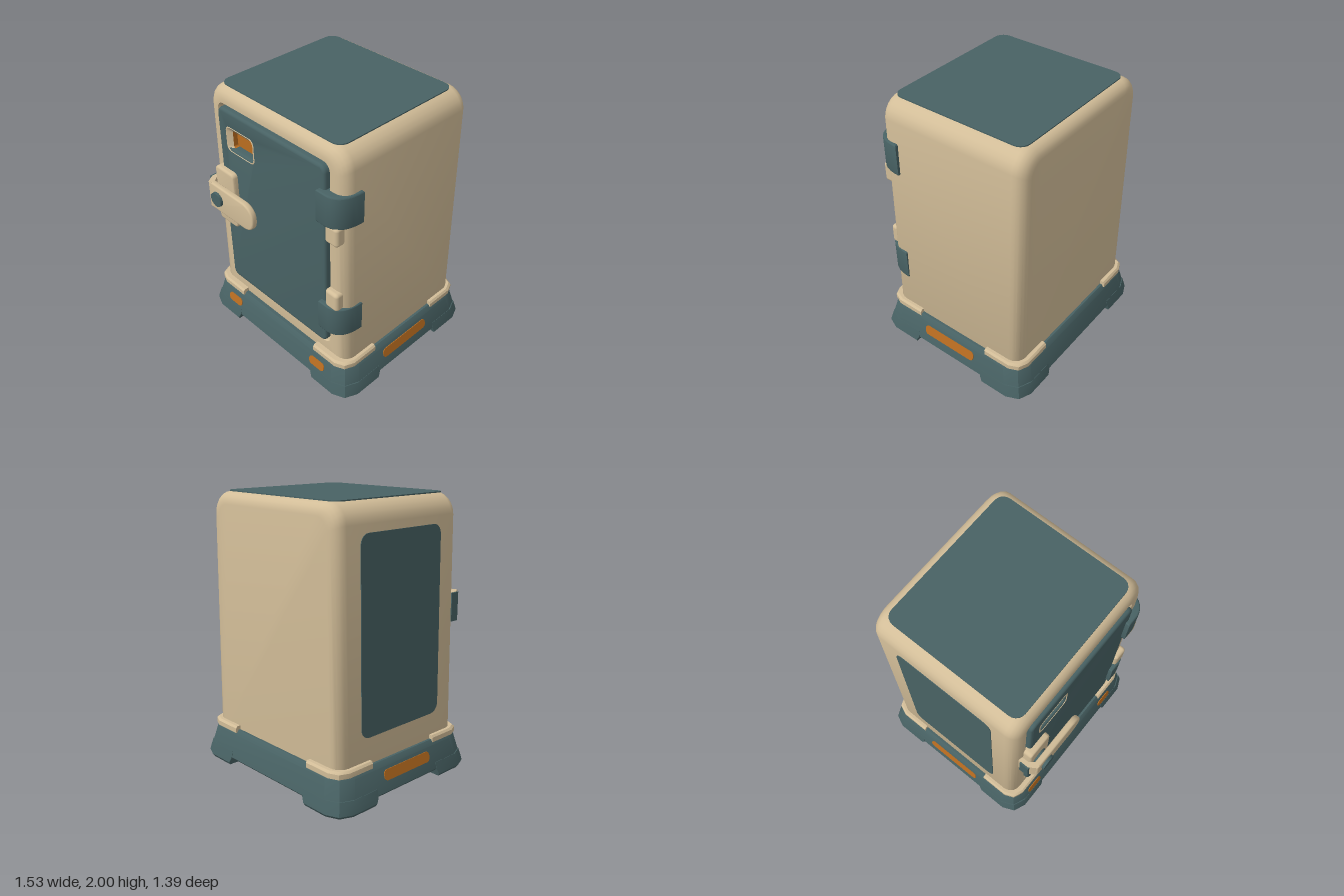
import * as THREE from 'three';
import { toCreasedNormals } from 'three/addons/utils/BufferGeometryUtils.js';
import { RoundedBoxGeometry } from 'three/addons/geometries/RoundedBoxGeometry.js';

const paint = (name, hex) => Object.assign(new THREE.MeshStandardMaterial({ color: hex }), { name });

// Counter-clockwise rounded rectangle; n segments per corner
function roundRect(x0, x1, y0, y1, r, n = 5, rBottom = r) {
  const pts = [];
  [[x1, y0, -1, 1, rBottom], [x1, y1, -1, -1, r], [x0, y1, 1, -1, r], [x0, y0, 1, 1, rBottom]].forEach(([x, y, sx, sy, rad], k) => {
    for (let i = 0; i <= n; i++) {
      const a = (k - 1 + i / n) * Math.PI / 2;
      pts.push(new THREE.Vector2(x + sx * rad + rad * Math.cos(a), y + sy * rad + rad * Math.sin(a)));
    }
  });
  return pts;
}

// Skin over outlines [points, z], listed along the direction of travel
function loft(rings, capStart = true, capEnd = true, crease = 0.6) {
  const n = rings[0][0].length, pos = [], idx = [];
  for (const [pts, z] of rings) for (const p of pts) pos.push(p.x, p.y, z);
  for (let k = 0; k < rings.length - 1; k++) {
    for (let i = 0; i < n; i++) {
      const a = k * n + i, b = k * n + (i + 1) % n;
      idx.push(a, b, b + n, a, b + n, a + n);
    }
  }
  const last = (rings.length - 1) * n;
  for (let i = 1; i < n - 1; i++) {
    if (capStart) idx.push(0, i + 1, i);
    if (capEnd) idx.push(last, last + i, last + i + 1);
  }
  const g = new THREE.BufferGeometry();
  g.setAttribute('position', new THREE.Float32BufferAttribute(pos, 3));
  g.setIndex(idx);
  return toCreasedNormals(g, crease);
}

// Bevelled plate from z0 to z1
function slab(pts, z0, z1, bevel = 0, hole = null) {
  const shape = new THREE.Shape(pts);
  if (hole) shape.holes.push(new THREE.Path(hole));
  const g = new THREE.ExtrudeGeometry(shape, {
    depth: z1 - z0 - 2 * bevel, bevelEnabled: bevel > 0, bevelThickness: bevel,
    bevelSize: bevel, bevelOffset: -bevel, bevelSegments: 3, curveSegments: 8,
  });
  return toCreasedNormals(g.translate(0, 0, z0 + bevel), 0.6);
}

// Corner block outline with a cut outer corner, mirrored to any quadrant
function cornerPlan(sx, sy, X, Z, x0, z0, cut) {
  const p = [[x0, z0 + 0.06], [x0 + 0.06, z0], [X, z0], [X, Z - cut], [X - cut * 0.3, Z - cut * 0.3], [X - cut, Z], [x0, Z]]
    .map(([x, y]) => new THREE.Vector2(x * sx, y * sy));
  return sx * sy < 0 ? p.reverse() : p;
}

export function createModel() {
  const root = new THREE.Group();
  const beige = paint('beige', 0xd2bd98), teal = paint('teal', 0x486264), orange = paint('orange', 0xba6d20);
  const add = (name, geo, mat, parent = root) => {
    const m = new THREE.Mesh(geo, mat);
    m.name = name;
    parent.add(m);
    return m;
  };
  const upright = g => g.rotateX(-Math.PI / 2); // outline plane becomes the floor plane

  // Tapered cabinet with rounded edges and a recess for the door
  const outline = inset => {
    const pts = roundRect(-0.64 + inset, 0.64 - inset, 0.2, 1.995 - inset, 0.14 - inset * 0.5, 6, 0.01);
    for (const p of pts) p.x *= 1 + 0.05 * (2 - p.y) / 1.7;
    return pts;
  };
  const R = 0.085, rings = [], steps = [0, 1, 2, 3, 4, 5].map(i => i / 5 * Math.PI / 2);
  for (const a of steps) rings.push([outline(R * (1 - Math.sin(a))), -0.6 + R * (1 - Math.cos(a))]);
  for (const a of steps) rings.push([outline(R * (1 - Math.cos(a))), 0.55 - R * (1 - Math.sin(a))]);
  const opening = e => roundRect(-0.54 + e, 0.52 - e, 0.37 + e, 1.885 - e, 0.06, 6);
  rings.push([opening(0), 0.55], [opening(0.008), 0.535], [opening(0.008), 0.46]);
  add('cabinet', loft(rings), beige);

  // Painted panels on the roof and one side
  add('roofPanel', upright(slab(roundRect(-0.56, 0.555, -0.5, 0.53, 0.07), 1.992, 2)), teal);
  const sidePanel = add('sidePanel', slab(roundRect(-0.38, 0.38, -0.67, 0.67, 0.07), -0.004, 0.004), teal);
  sidePanel.position.set(-0.657, 1.13, -0.02);
  sidePanel.rotation.set(0, -Math.PI / 2, -0.019, 'ZYX');

  // Door with a sunken window
  add('door', slab(roundRect(-0.52, 0.5, 0.39, 1.865, 0.05), 0.455, 0.575, 0.02,
    roundRect(-0.42, -0.18, 1.58, 1.725, 0.02)), teal);
  const pane = roundRect(-0.4, -0.18, 1.58, 1.71, 0.015);
  add('windowRim', loft([[roundRect(-0.445, -0.155, 1.555, 1.75, 0.04), 0.574],
    [roundRect(-0.435, -0.165, 1.56, 1.745, 0.04), 0.578], [pane, 0.55]], false, false), beige);
  add('windowPocket', loft([[pane, 0.55], [pane, 0.515]], false, true), orange);

  // Latch: keeper plate, swinging bar with bent end, knob
  add('latchPlate', slab(roundRect(-0.56, -0.36, 0.94, 1.395, 0.03), 0.54, 0.615, 0.015), beige);
  const bar = new THREE.Shape();
  bar.moveTo(-0.57, 1.07);
  bar.lineTo(-0.19, 1.07);
  bar.quadraticCurveTo(-0.095, 1.08, -0.095, 1.175);
  bar.quadraticCurveTo(-0.095, 1.27, -0.19, 1.285);
  bar.lineTo(-0.57, 1.285);
  add('latchBar', slab(bar.getPoints(8), 0.635, 0.68, 0.012), beige);
  const hook = [[-0.54, -0.675], [-0.565, -0.675], [-0.6, -0.62], [-0.6, -0.54], [-0.57, -0.54], [-0.57, -0.6], [-0.54, -0.64]];
  add('latchHook', upright(slab(hook.map(p => new THREE.Vector2(...p)), 1.07, 1.285)), beige);
  add('latchEndStrip', new THREE.BoxGeometry(0.03, 0.21, 0.07), teal).position.set(-0.596, 1.1775, 0.595);
  const knob = add('latchKnob', new THREE.CylinderGeometry(0.055, 0.062, 0.14, 24), teal);
  knob.rotation.x = Math.PI / 2;
  knob.position.set(-0.47, 1.18, 0.63);

  // Hinges wrapping the front corner, each with a pin
  for (const [y, pinY, dx] of [[1.46, 1.4, 0], [0.55, 0.85, 0.007]]) {
    const s = new THREE.Shape();
    s.moveTo(0.45, -0.5);
    s.lineTo(0.45, -0.605);
    s.lineTo(0.54, -0.605);
    s.quadraticCurveTo(0.665, -0.59, 0.668, -0.405);
    s.lineTo(0.6, -0.405);
    s.lineTo(0.58, -0.5);
    add('hinge', upright(slab(s.getPoints(8), y, y + 0.24, 0.01)), teal).position.x = dx;
    add('hingePin', new RoundedBoxGeometry(0.115, 0.15, 0.09, 3, 0.025), beige).position.set(0.565, pinY, 0.548);
  }

  // Flared base with chamfered corners
  const base = new THREE.Group();
  base.name = 'base';
  base.position.z = -0.02;
  root.add(base);
  const baseRing = (hx, hz, y) => [roundRect(-hx, hx, -hz, hz, 0.14, 2), y];
  add('plinth', upright(loft([baseRing(0.74, 0.645, 0.05), baseRing(0.752, 0.658, 0.065),
    baseRing(0.714, 0.62, 0.235), baseRing(0.69, 0.596, 0.27)], true, true, 0.5)), teal, base);

  // Feet below and trim plates above at every corner
  for (const sx of [-1, 1]) for (const sy of [-1, 1]) {
    const foot = (e, d) => cornerPlan(sx, sy, 0.764 - e, 0.67 - e, 0.4 + d, 0.3 + d, 0.13);
    add('foot', upright(loft([[foot(0.012, 0.025), 0], [foot(0, 0.02), 0.02], [foot(0.008, 0), 0.06], [foot(0.02, 0), 0.11]])), teal, base);
    const trim = e => cornerPlan(sx, sy, 0.705 - e, 0.618 - e, 0.39, 0.305, 0.1);
    add('cornerTrim', upright(loft([[trim(0), 0.25], [trim(0), 0.285], [trim(0.012), 0.3]])), beige, base);
  }

  // Painted marks on the front and sides of the base
  for (const x of [-0.475, 0.445]) {
    const m = add('frontMark', slab(roundRect(-0.075, 0.075, -0.034, 0.034, 0.03), -0.004, 0.004), orange, base);
    m.position.set(x, 0.165, 0.637);
    m.rotation.x = -0.22;
  }
  for (const s of [-1, 1]) {
    const m = add('sideMark', slab(roundRect(-0.23, 0.23, -0.038, 0.038, 0.03), -0.004, 0.004), orange, base);
    m.position.set(s * 0.729, 0.175, 0.01);
    m.rotation.set(0, s * Math.PI / 2, s * 0.22, 'ZYX');
  }
  return root;
}
